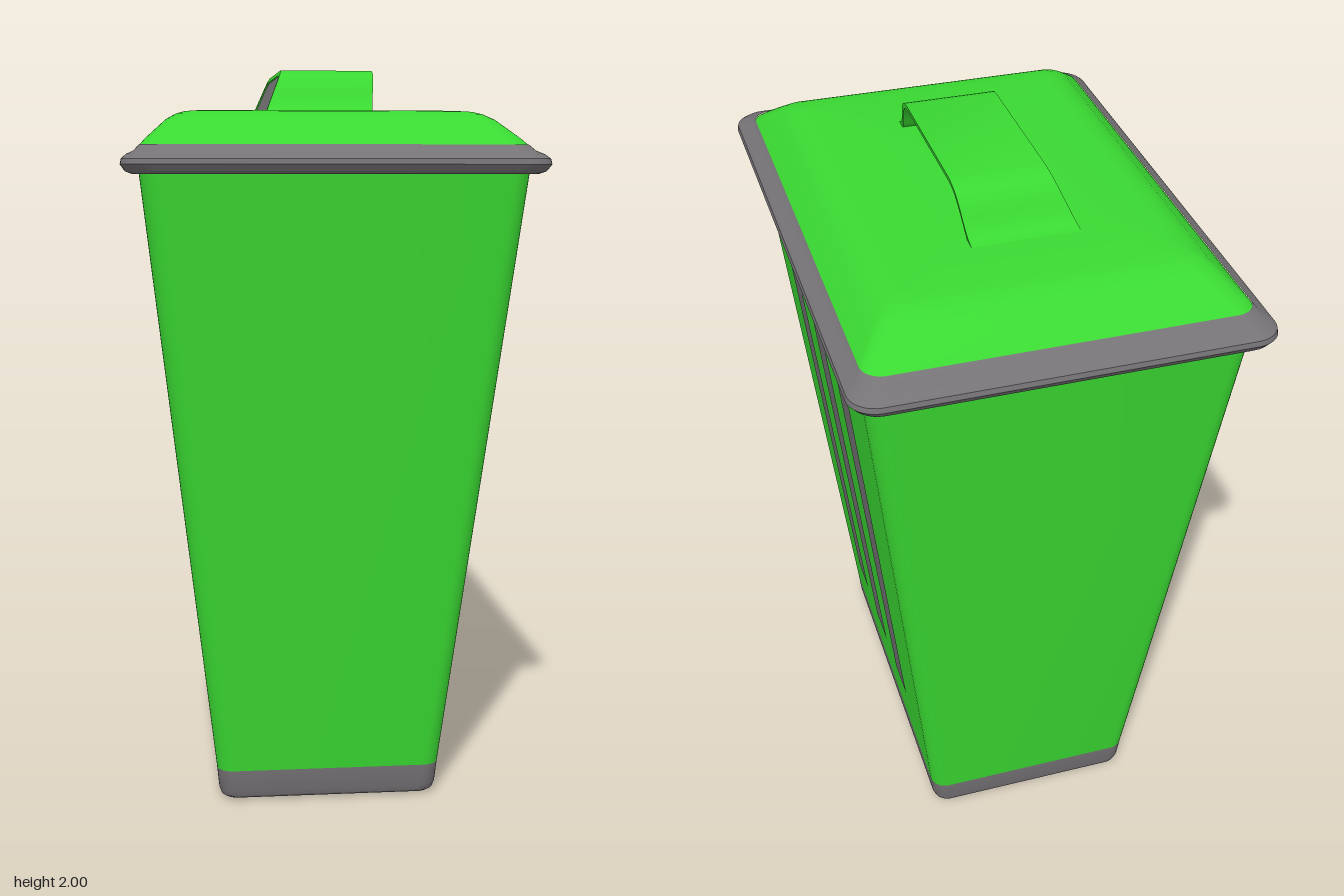
import * as THREE from 'three';
import { toCreasedNormals } from 'three/addons/utils/BufferGeometryUtils.js';

const green = new THREE.MeshStandardMaterial({ color: 0x3ad932 });
const grey = new THREE.MeshStandardMaterial({ color: 0x767376 });
const greySheet = new THREE.MeshStandardMaterial({ color: 0x767376, side: THREE.DoubleSide });

const CORNER = 8; // segments per rounded corner

// Points of a rounded rectangle at height y: half width, half depth, corner radius
function ring([y, hx, hz, r]) {
  const pts = [];
  for (let q = 0; q < 4; q++) {
    const sx = q === 0 || q === 3 ? 1 : -1;
    const sz = q < 2 ? 1 : -1;
    for (let i = 0; i <= CORNER; i++) {
      const a = (q + i / CORNER) * Math.PI / 2;
      pts.push(sx * (hx - r) + r * Math.cos(a), y, sz * (hz - r) + r * Math.sin(a));
    }
  }
  return pts;
}

// Skin a stack of rounded rectangles, listed bottom to top, with optional caps
function loft(levels, { top = false, bottom = false, crease = 0.6 } = {}) {
  const pos = levels.flatMap(ring);
  const n = 4 * (CORNER + 1);
  const idx = [];
  const last = (levels.length - 1) * n;
  for (let i = 0; i < n; i++) {
    const j = (i + 1) % n;
    for (let k = 0; k < last; k += n) {
      idx.push(k + i, k + n + i, k + j, k + j, k + n + i, k + n + j);
    }
    if (top) idx.push(levels.length * n, last + j, last + i);
    if (bottom) idx.push(levels.length * n + (top ? 1 : 0), i, j);
  }
  if (top) pos.push(0, levels[levels.length - 1][0], 0);
  if (bottom) pos.push(0, levels[0][0], 0);
  const g = new THREE.BufferGeometry();
  g.setAttribute('position', new THREE.Float32BufferAttribute(pos, 3));
  g.setIndex(idx);
  return toCreasedNormals(g, crease);
}

// Arch outline across the lid, from one foot over the top to the other
function arch(half) {
  const curve = new THREE.SplineCurve(half.map(p => new THREE.Vector2(...p)));
  const side = curve.getPoints(16);
  return [...side, ...side.slice().reverse().map(p => new THREE.Vector2(-p.x, p.y))];
}

// Place extruded handle parts: depth 0..1 becomes x between two slanted ends
function slant(g) {
  const p = g.attributes.position;
  for (let i = 0; i < p.count; i++) {
    const s = (p.getY(i) - 1.88) / 0.12;
    p.setZ(i, THREE.MathUtils.lerp(-0.155 + 0.05 * s, 0.135 + 0.015 * s, p.getZ(i)));
  }
  g.rotateY(Math.PI / 2);
  return g;
}

export function createModel() {
  const model = new THREE.Group();
  const add = (name, geometry, material) => {
    const m = new THREE.Mesh(geometry, material);
    m.name = name;
    model.add(m);
  };

  // Tapered bin, its grey foot band and the green underside
  add('body', loft([[0.09, 0.308, 0.525, 0.045], [1.73, 0.5, 0.715, 0.055]]), green);
  add('footBand', loft([
    [0.005, 0.285, 0.502, 0.035], [0.013, 0.296, 0.513, 0.042],
    [0.03, 0.302, 0.519, 0.045], [0.09, 0.308, 0.525, 0.045],
  ]), grey);
  add('underside', loft([[0, 0.272, 0.489, 0.03], [0.005, 0.285, 0.502, 0.035]],
    { bottom: true, crease: 1.3 }), green);

  // Flared rim between bin and lid
  add('rim', loft([
    [1.716, 0.48, 0.69, 0.05], [1.716, 0.515, 0.75, 0.06], [1.723, 0.533, 0.77, 0.07],
    [1.74, 0.545, 0.782, 0.075], [1.754, 0.542, 0.779, 0.073], [1.765, 0.53, 0.765, 0.07],
    [1.775, 0.51, 0.735, 0.06], [1.79, 0.497, 0.708, 0.055],
  ], { bottom: true }), grey);

  // Domed lid
  add('lid', loft([
    [1.788, 0.497, 0.708, 0.055], [1.805, 0.482, 0.685, 0.055], [1.83, 0.455, 0.65, 0.055],
    [1.855, 0.428, 0.612, 0.055], [1.87, 0.402, 0.58, 0.055], [1.877, 0.38, 0.553, 0.05],
    [1.88, 0.35, 0.52, 0.045],
  ], { top: true, crease: 0.8 }), green);

  // Handle: arched shell open on the left, closed by a sloping wall on the right
  const outer = arch([[0.375, 1.876], [0.335, 1.889], [0.31, 1.915], [0.285, 1.955], [0.255, 1.986], [0.21, 2]]);
  const inner = arch([[0.325, 1.876], [0.31, 1.892], [0.294, 1.918], [0.27, 1.951], [0.243, 1.976], [0.205, 1.986]]);
  const shell = new THREE.Shape([...outer, ...inner.slice().reverse()]);
  const shellGeometry = new THREE.ExtrudeGeometry(shell, { depth: 1, bevelEnabled: false });
  add('handleShell', toCreasedNormals(slant(shellGeometry), 0.6), green);
  const wall = new THREE.ShapeGeometry(new THREE.Shape(inner));
  wall.translate(0, 0, 0.02);
  slant(wall).computeVertexNormals();
  add('handleWall', wall, greySheet);

  // Three tapering stripes lying on the left side
  const stripes = [[0.385, 0.235, 0.31, 0.19], [0.08, -0.075, 0.065, -0.06], [-0.225, -0.38, -0.185, -0.305]];
  const onSide = (y, z) => [0.308 + (y - 0.09) * 0.192 / 1.64 + 0.003, y, z];
  stripes.forEach(([t0, t1, b0, b1], i) => {
    const g = new THREE.BufferGeometry();
    g.setAttribute('position', new THREE.Float32BufferAttribute(
      [onSide(0.295, b0), onSide(0.295, b1), onSide(1.465, t1), onSide(1.465, t0)].flat(), 3));
    g.setIndex([0, 1, 2, 0, 2, 3]);
    g.computeVertexNormals();
    add('stripe' + (i + 1), g, greySheet);
  });

  return model;
}
